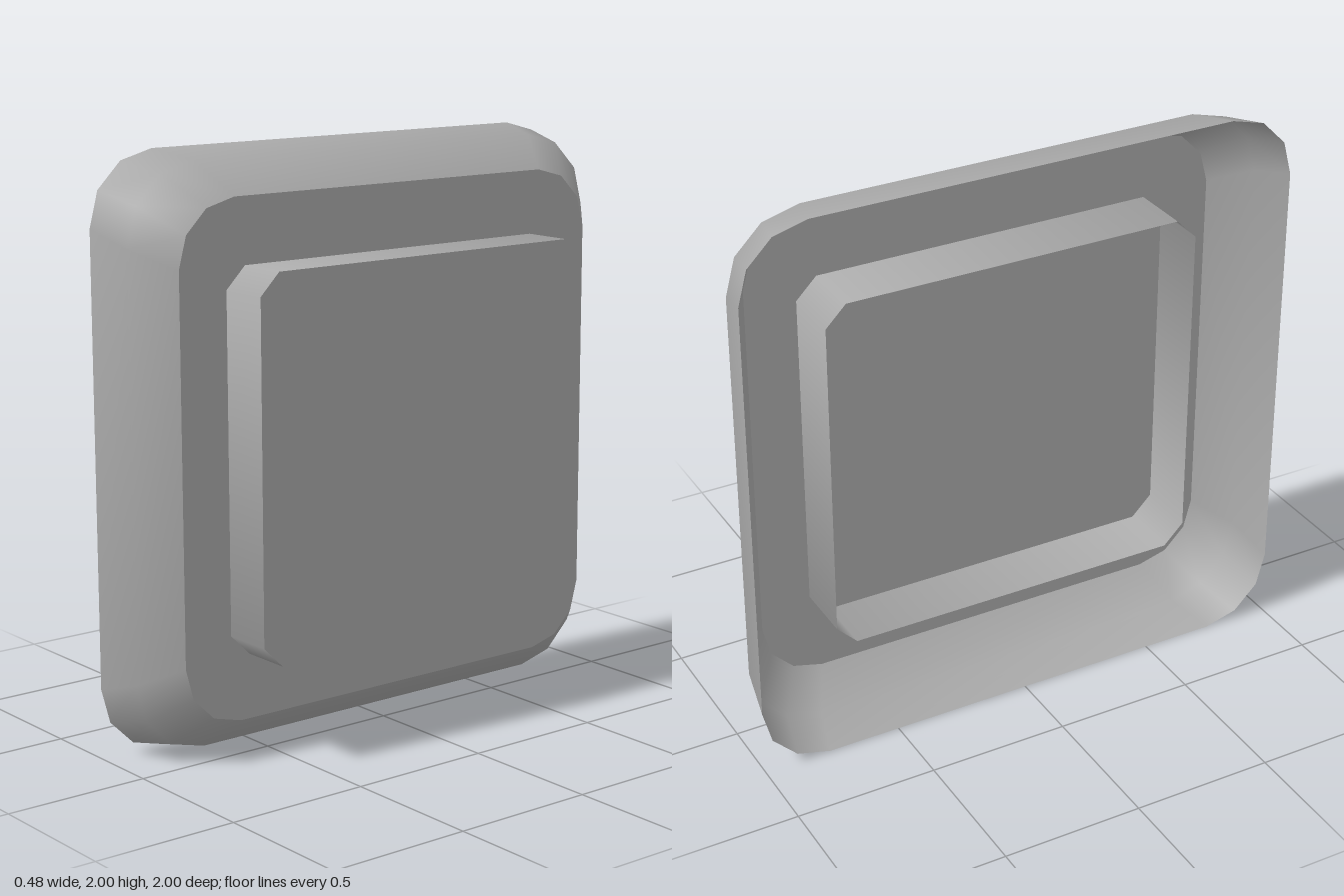
import * as THREE from 'three';

const grey = new THREE.MeshStandardMaterial({ color: 0xaaaaaa, side: THREE.DoubleSide });
grey.name = 'plain grey';

// Rounded rectangle outline, counterclockwise seen from +x (u runs along -z)
function outline(halfU, halfY, radius, segments) {
  const points = [];
  for (let corner = 0; corner < 4; corner++) {
    const su = corner === 0 || corner === 3 ? 1 : -1;
    const sy = corner < 2 ? 1 : -1;
    for (let i = 0; i <= segments; i++) {
      const a = (corner + i / segments) * Math.PI / 2;
      points.push(new THREE.Vector2(
        su * (halfU - radius) + radius * Math.cos(a),
        1 + sy * (halfY - radius) + radius * Math.sin(a)));
    }
  }
  return points;
}

// Smooth open wall running through outlines placed at increasing x;
// every panel weighs equally in the normals of its corners
function wall(name, sections) {
  const n = sections[0].points.length;
  const vertices = sections.flatMap(({ x, points }) =>
    points.map((p) => new THREE.Vector3(x, p.y, -p.x)));
  const normals = vertices.map(() => new THREE.Vector3());
  const index = [];
  for (let i = 0; i < sections.length - 1; i++) {
    for (let j = 0; j < n; j++) {
      const a = i * n + j, b = i * n + (j + 1) % n;
      index.push(a, b, a + n, b, b + n, a + n);
      const along = vertices[b].clone().sub(vertices[a]);
      const across = vertices[a + n].clone().sub(vertices[a]);
      const normal = along.cross(across).normalize();
      for (const k of [a, b, a + n, b + n]) normals[k].add(normal);
    }
  }
  const geometry = new THREE.BufferGeometry().setFromPoints(vertices);
  geometry.setAttribute('normal', new THREE.Float32BufferAttribute(
    normals.flatMap((v) => v.normalize().toArray()), 3));
  geometry.setIndex(index);
  const mesh = new THREE.Mesh(geometry, grey);
  mesh.name = name;
  return mesh;
}

// Flat face looking towards +x
function face(name, x, points) {
  const geometry = new THREE.ShapeGeometry(new THREE.Shape(points));
  geometry.rotateY(Math.PI / 2).translate(x, 0, 0);
  const mesh = new THREE.Mesh(geometry, grey);
  mesh.name = name;
  return mesh;
}

export function createModel() {
  const model = new THREE.Group();
  model.name = 'wallPlate';

  const rim = outline(1, 1, 0.24, 3);
  const shoulder = outline(0.971, 0.971, 0.26, 3);
  const plate = outline(0.863, 0.863, 0.215, 3);
  const button = outline(0.683, 0.642, 0.073, 1);

  // Hollow housing, open at the back
  model.add(wall('housingRim', [
    { x: -0.238, points: rim },
    { x: -0.07, points: shoulder },
    { x: 0.055, points: plate },
  ]));
  model.add(face('housingFace', 0.055, plate));

  // Button passing through the housing face, its sides open at the back
  model.add(wall('buttonSides', [
    { x: -0.163, points: button },
    { x: 0.237, points: button },
  ]));
  model.add(face('buttonFace', 0.237, button));

  return model;
}
